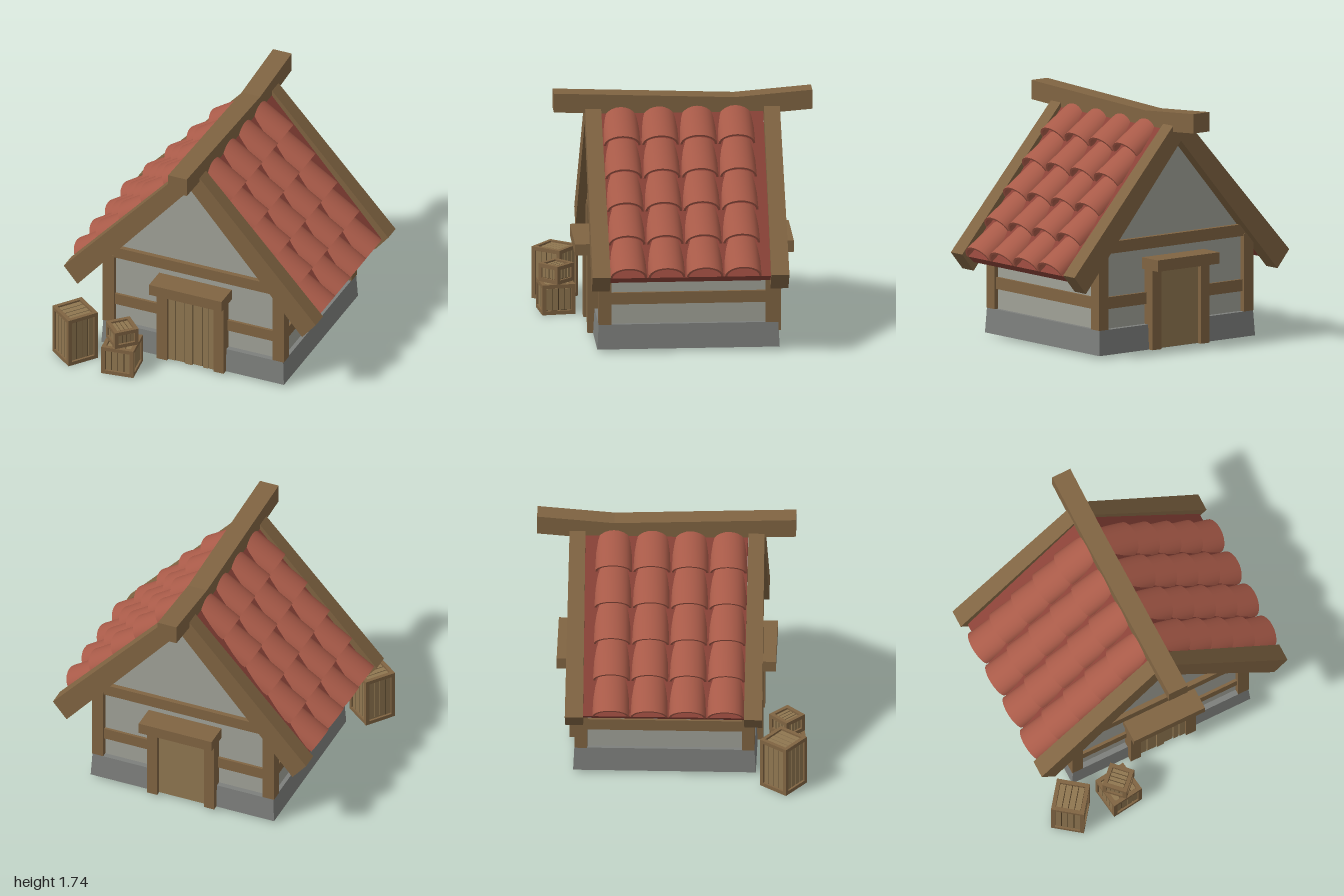
import * as THREE from 'three';
import { toCreasedNormals } from 'three/addons/utils/BufferGeometryUtils.js';

const mat = (color) => new THREE.MeshStandardMaterial({ color, flatShading: true });
const wood = mat(0x806442);
const plankWood = mat(0x8f7650);
const darkWood = mat(0x4a3922);
const plaster = mat(0xa0a197);
const stone = mat(0x7d7f7c);
const roofRed = mat(0x8a4237);
const tileRed = new THREE.MeshStandardMaterial({ color: 0xa85a48 });

function add(parent, name, geometry, material, x = 0, y = 0, z = 0) {
  const mesh = new THREE.Mesh(geometry, material);
  mesh.name = name;
  mesh.position.set(x, y, z);
  parent.add(mesh);
  return mesh;
}

// Box given by its limits on each axis
function block(parent, name, material, [x0, x1], [y0, y1], [z0, z1]) {
  const geo = new THREE.BoxGeometry(x1 - x0, y1 - y0, z1 - z0);
  return add(parent, name, geo, material, (x0 + x1) / 2, (y0 + y1) / 2, (z0 + z1) / 2);
}

// Polygon extruded symmetrically about z = 0
function prism(points, depth) {
  const shape = new THREE.Shape(points.map(([x, y]) => new THREE.Vector2(x, y)));
  return new THREE.ExtrudeGeometry(shape, { depth, bevelEnabled: false }).translate(0, 0, -depth / 2);
}

// Move every vertex by a rule
function warp(geo, rule) {
  const p = geo.attributes.position;
  const v = new THREE.Vector3();
  for (let i = 0; i < p.count; i++) {
    rule(v.fromBufferAttribute(p, i));
    p.setXYZ(i, v.x, v.y, v.z);
  }
  geo.computeVertexNormals();
  return geo;
}

// Hollow half-barrel tile, lower end at x = 0, sinking into the roof towards -x
function tileGeometry() {
  const length = 0.295, n = 12, pts = [];
  const arch = (rx, ry, a) => pts.push([rx * Math.cos(a), ry * Math.sin(a)]);
  for (let i = 0; i <= n; i++) arch(0.131, 0.1, (Math.PI * i) / n);
  for (let i = n; i >= 0; i--) arch(0.115, 0.084, (Math.PI * i) / n);
  const geo = prism(pts, length).rotateY(Math.PI / 2).translate(-length / 2, 0, 0);
  return toCreasedNormals(geo.rotateZ(0.28), 0.7);
}

// One roof slope: local x runs down the slope, local y is its normal
function roofSlope(side, tile) {
  const slope = new THREE.Group();
  slope.name = side > 0 ? 'leftRoofSlope' : 'rightRoofSlope';
  slope.rotation.z = -0.857;
  slope.position.set(0.925, 0.6, 0);
  block(slope, 'roofBoard', roofRed, [-1.414, 0], [-0.07, 0], [-0.575, 0.585]);
  for (let row = 0; row < 5; row++)
    for (let col = 0; col < 4; col++)
      add(slope, 'roofTile', tile, tileRed, 0.005 - row * 0.262, 0.012, side * (0.442 - col * 0.2725));
  const turn = new THREE.Group();
  turn.name = 'roofHalf';
  turn.rotation.y = side > 0 ? 0 : Math.PI;
  turn.add(slope);
  return turn;
}

// Crate: dark core, twelve edge bars and slats running through on each axis
function crate(name, w, h, x, y, z, turn) {
  const g = new THREE.Group();
  g.name = name;
  g.position.set(x, y + h / 2, z);
  g.rotation.y = turn;
  const t = 0.028, size = [w, h, w];
  add(g, 'crateCore', new THREE.BoxGeometry(w - 0.034, h - 0.034, w - 0.034), darkWood);
  for (let axis = 0; axis < 3; axis++) {
    const b = (axis + 1) % 3, c = (axis + 2) % 3;
    for (const i of [-1, 1]) for (const j of [-1, 1]) {
      const dim = [t, t, t], pos = [0, 0, 0];
      dim[axis] = size[axis] - (axis === 1 ? 0 : 0.004);
      pos[b] = (i * (size[b] - t)) / 2;
      pos[c] = (j * (size[c] - t)) / 2;
      add(g, 'crateBar', new THREE.BoxGeometry(...dim), wood, ...pos);
    }
    // Upright slats on the sides, parallel slats on the lid
    const across = axis === 0 ? 2 : 0, along = 3 - axis - across;
    const step = (size[across] - 2 * t) / 4;
    for (let k = 0; k < 4; k++) {
      const dim = [0, 0, 0], pos = [0, 0, 0];
      dim[axis] = size[axis] - 0.022;
      dim[across] = step - 0.006;
      dim[along] = size[along] - 2 * t - 0.008;
      pos[across] = (k - 1.5) * step;
      add(g, 'crateSlat', new THREE.BoxGeometry(...dim), plankWood, ...pos);
    }
  }
  return g;
}

export function createModel() {
  const model = new THREE.Group();
  model.name = 'cottageWithCrates';
  const house = new THREE.Group();
  house.name = 'house';
  house.position.z = -0.045;
  model.add(house);

  // Stone base, slightly wider at the foot
  const base = new THREE.BoxGeometry(1.4, 0.18, 1.28);
  warp(base, (v) => { if (v.y < 0) { v.x *= 1.014; v.z *= 1.016; } });
  add(house, 'foundation', base, stone, 0, 0.11, 0);

  // Plastered walls with both gables
  add(house, 'walls', prism([[-0.67, 0.2], [0.67, 0.2], [0.67, 0.785], [0, 1.56], [-0.67, 0.785]], 1.2), plaster);

  // Timber frame
  for (const s of [-1, 1]) {
    const span = (a, b) => (s > 0 ? [a, b] : [-b, -a]);
    for (const x of [[-0.705, -0.618], [0.618, 0.705]])
      block(house, 'cornerPost', wood, x, [0.2, 0.76], span(0.55, 0.64));
    block(house, 'sideRail', wood, span(0.64, 0.69), [0.345, 0.43], [-0.56, 0.56]);
    block(house, 'gableRail', wood, [-0.63, 0.63], [0.345, 0.43], span(0.57, 0.62));
    block(house, 'gableTieBeam', wood, [-0.66, 0.66], [0.745, 0.83], span(0.57, 0.635));

    // Door frame and lintel
    for (const x of [[-0.263, -0.183], [0.178, 0.258]])
      block(house, 'doorPost', wood, x, [0.02, 0.61], span(0.58, 0.69));
    block(house, 'doorLintel', wood, [-0.282, 0.282], [0.6, 0.682], span(0.58, 0.78));
    block(house, 'doorPanel', s > 0 ? darkWood : plankWood, [-0.19, 0.185], [0.022, 0.605], span(0.58, 0.655));

    // Bargeboards as one angled frame, flaring a little towards the eaves
    const boards = prism([[-0.98, 0.62], [-0.874, 0.493], [0, 1.505], [0.874, 0.493], [0.98, 0.62], [0, 1.7]], 0.112);
    warp(boards, (v) => { v.z *= 1 + 0.16 * Math.abs(v.x); });
    add(house, 'bargeboards', boards, wood, 0, 0, s * 0.637);
  }

  // Uneven door planks on the front
  const seams = [-0.183, -0.125, -0.05, 0.01, 0.085, 0.13, 0.178];
  for (let i = 0; i < 6; i++)
    block(house, 'doorPlank', plankWood, [seams[i] + 0.003, seams[i + 1] - 0.003],
      [0.02 + (i % 2) * 0.006, 0.605], [0.62, 0.667 + (i % 3) * 0.004]);

  // Roof slopes with their tiles
  const tile = tileGeometry();
  for (const s of [1, -1]) house.add(roofSlope(s, tile));

  // Ridge beam, bent up towards the back
  const ridge = prism([[-0.917, 1.6], [0.375, 1.55], [0.925, 1.595], [0.925, 1.735], [0.375, 1.69], [-0.917, 1.738]], 0.145);
  add(house, 'ridgeBeam', ridge.rotateY(Math.PI / 2), wood);

  // Crates by the front wall
  model.add(crate('tallCrate', 0.238, 0.38, -0.826, 0, 0.805, -0.65));
  model.add(crate('lowerCrate', 0.238, 0.22, -0.452, 0, 0.825, 0.13));
  model.add(crate('upperCrate', 0.18, 0.132, -0.452, 0.22, 0.82, Math.PI / 4));
  return model;
}
